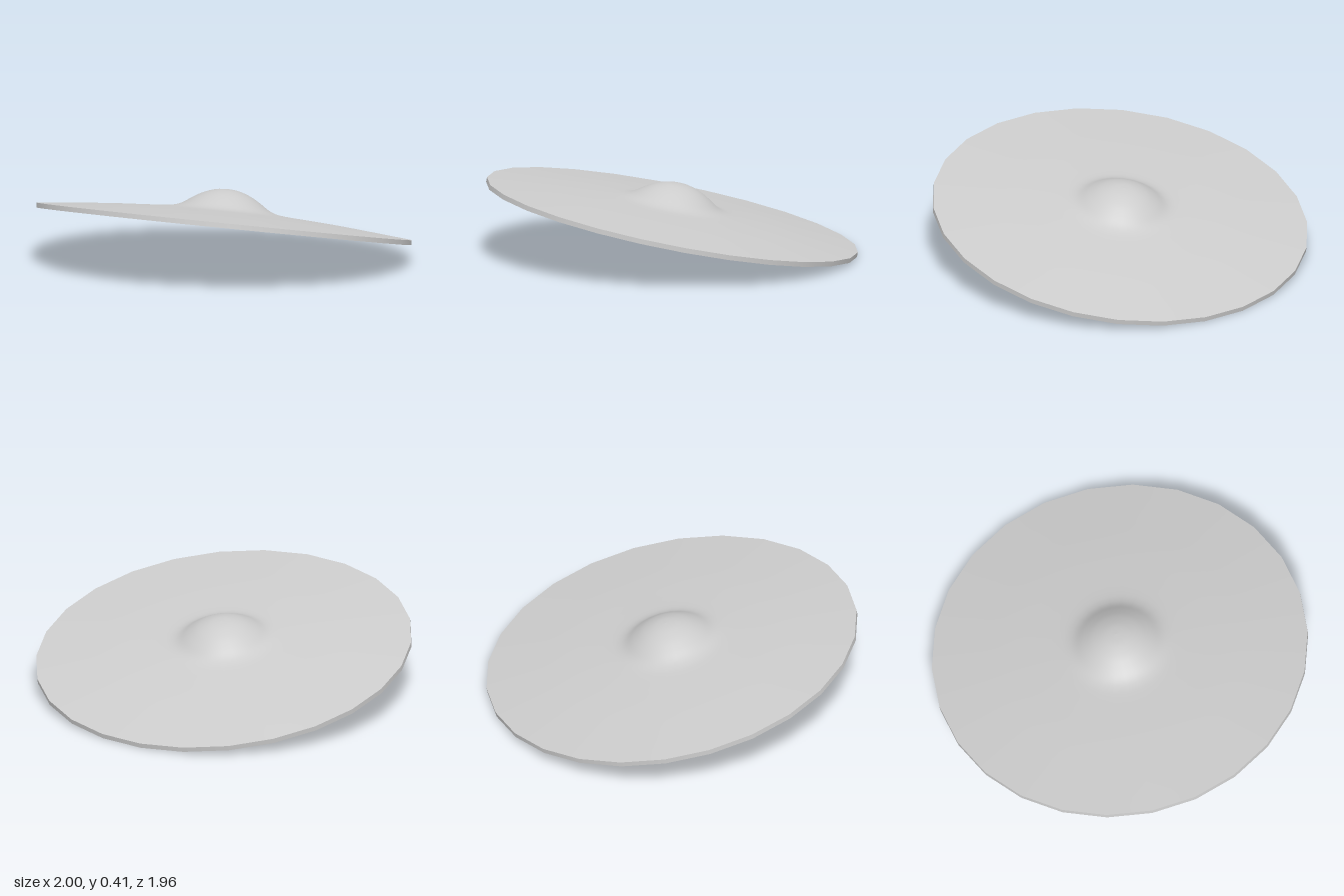
import * as THREE from 'three';

const SIDES = 26;

// Turn a smooth profile of [radius, height] pairs around the y axis
function lathe(name, points, samples, material) {
  const pts = points.map(([r, h]) => new THREE.Vector2(r, h));
  const profile = samples ? new THREE.SplineCurve(pts).getPoints(samples) : pts;
  profile.forEach((p) => { p.x = Math.max(p.x, 0); });
  const mesh = new THREE.Mesh(new THREE.LatheGeometry(profile, SIDES, Math.PI / 2), material);
  mesh.name = name;
  return mesh;
}

export function createModel() {
  const material = new THREE.MeshStandardMaterial({ color: 0xcccccc });
  const model = new THREE.Group();
  model.name = 'conicalHat';

  const thickness = 0.026;
  // Wide, gently sloping brim rising into a bell-shaped crown
  const top = [
    [1, 0.013], [0.8, 0.032], [0.6, 0.05], [0.42, 0.062], [0.32, 0.069], [0.27, 0.077],
    [0.23, 0.093], [0.18, 0.126], [0.125, 0.157], [0.06, 0.179], [0, 0.185],
  ];
  // Hollow underside follows the top at a constant thickness
  const under = top.map(([r, h]) => [r, h - thickness]).reverse();

  const hat = new THREE.Group();
  hat.name = 'hat';
  hat.add(
    lathe('upperSurface', top, 40, material),
    lathe('underside', under, 40, material),
    lathe('rimEdge', [[1, 0.013 - thickness], [1, 0.013]], 0, material),
  );

  // Tilted: front edge raised, left side slightly raised
  hat.rotation.set(-0.188, 0, 0.057);
  hat.position.y = 0.208;
  model.add(hat);
  return model;
}
